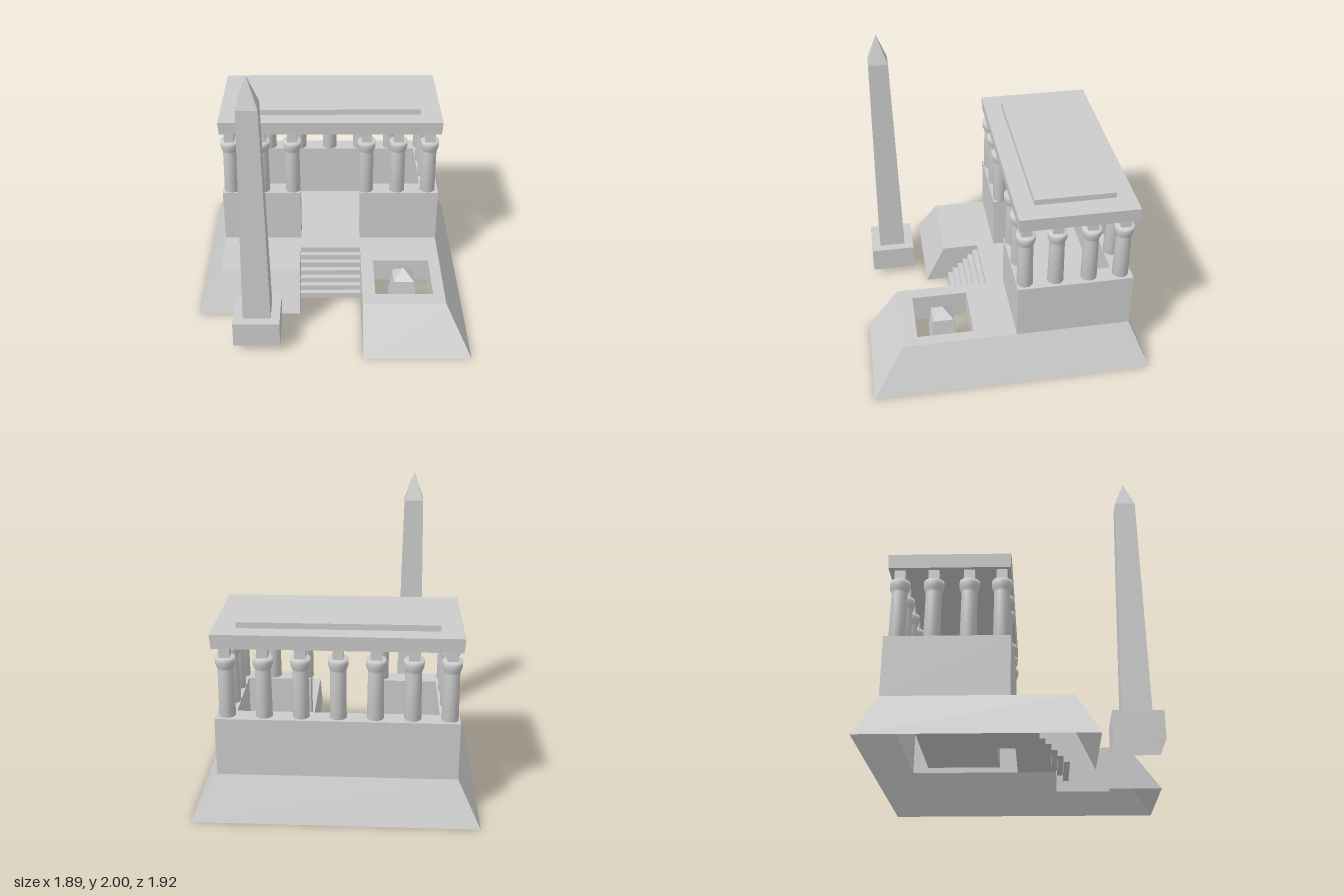
import * as THREE from 'three';

const mat = new THREE.MeshStandardMaterial({ color: 0xcccccc, side: THREE.DoubleSide });

// Band of quads between two matching 3D paths (a below, b above)
function ribbon(a, b, closed = false) {
  const pos = [];
  const n = a.length;
  for (let i = 0; i < (closed ? n : n - 1); i++) {
    const j = (i + 1) % n;
    pos.push(...a[i], ...a[j], ...b[j], ...a[i], ...b[j], ...b[i]);
  }
  const g = new THREE.BufferGeometry();
  g.setAttribute('position', new THREE.Float32BufferAttribute(pos, 3));
  g.computeVertexNormals();
  return g;
}

// Horizontal face at height y from [x, z] outlines
function sheet(outline, y, holes = []) {
  const pts = (o) => o.map(([x, z]) => new THREE.Vector2(x, -z));
  const s = new THREE.Shape(pts(outline));
  for (const h of holes) s.holes.push(new THREE.Path(pts(h)));
  return new THREE.ShapeGeometry(s).rotateX(-Math.PI / 2).translate(0, y, 0);
}

const at = (outline, y) => outline.map(([x, z]) => [x, y, z]);
const rect = (x0, x1, z0, z1) => [[x0, z1], [x1, z1], [x1, z0], [x0, z0]];
const square = (x, z, h) => rect(x - h, x + h, z - h, z + h);

export function createModel() {
  const model = new THREE.Group();
  const add = (name, geo, parent = model) => {
    const m = new THREE.Mesh(geo, mat);
    m.name = name;
    parent.add(m);
    return m;
  };
  const group = (name) => {
    const g = new THREE.Group();
    g.name = name;
    model.add(g);
    return g;
  };

  const FLOOR = 0.295, WALL = 0.695;
  const L = -0.8, R = 0.78, BACK = -0.84, FRONT = -0.045; // hall footprint
  const gapL = -0.23, gapR = 0.21, T = 0.13;              // gateway and wall thickness

  // Sloping sides of the platform, open underneath
  const foot = [[gapR, 0.96], [0.945, 0.96], [0.945, -0.965], [-0.95, -0.965], [-0.95, 0.485], [gapL, 0.485]];
  const rim = [[gapR, 0.74], [R, 0.74], [R, BACK], [L, BACK], [L, 0.345], [gapL, 0.345]];
  add('platformSides', ribbon(at(foot, 0), at(rim, FLOOR)));

  // U-shaped wall with a gateway at the front; inner edge listed left to right
  const inner = [[gapL, FRONT], [gapL, FRONT - T], [L + T, FRONT - T], [L + T, BACK + T],
    [R - T, BACK + T], [R - T, FRONT - T], [gapR, FRONT - T], [gapR, FRONT]];
  const wall = [...inner, [R, FRONT], [R, BACK], [L, BACK], [L, FRONT]];
  const hall = group('hallWalls');
  add('wallSides', ribbon(at(wall, FLOOR), at(wall, WALL), true), hall);
  add('wallTop', sheet(wall, WALL), hall);

  // Terrace and courtyard floor, with a pit through it
  const pit = rect(0.3, 0.7, 0.245, 0.635);
  const stairTop = 0.085;
  const floor = [[L, FRONT], ...inner, [R, FRONT], [R, 0.74], [gapR, 0.74],
    [gapR, stairTop], [gapL, stairTop], [gapL, 0.345], [L, 0.345]];
  add('terraceFloor', sheet(floor, FLOOR, [pit]));
  add('pitWalls', ribbon(at(pit, 0.12), at(pit, FLOOR), true));

  // Stairs sunk into the terrace
  const profile = [[stairTop, FLOOR]]; // [z, y]
  const steps = 7, rise = 0.04, tread = 0.0392;
  for (let i = 0; i < steps; i++) {
    const z = stairTop + i * tread, y = FLOOR - (i + 1) * rise;
    profile.push([z, y]);
    if (i < steps - 1) profile.push([z + tread, y]);
  }
  const side = (x) => profile.map(([z, y]) => [x, y, z]);
  add('stairs', ribbon(side(gapR), side(gapL)));

  // Upright walls on each side of the stairs
  for (const [name, x, zTop, zFoot] of [['stairWallLeft', gapR, 0.74, 0.96], ['stairWallRight', gapL, 0.345, 0.485]]) {
    const end = profile[profile.length - 1][0];
    const pts = [...profile, [end, 0], [zFoot, 0], [zTop, FLOOR]];
    const s = new THREE.Shape(pts.map(([z, y]) => new THREE.Vector2(-z, y)));
    add(name, new THREE.ShapeGeometry(s).rotateY(Math.PI / 2).translate(x, 0, 0));
  }

  // Columns with flared capitals and square blocks
  const columnGeo = new THREE.LatheGeometry([
    [0, 0], [0.055, 0], [0.051, 0.325], [0.056, 0.34], [0.064, 0.362], [0.066, 0.385], [0.065, 0.41], [0, 0.41],
  ].map(([r, y]) => new THREE.Vector2(r, y)), 20);
  const blockGeo = new THREE.BoxGeometry(0.07, 0.075, 0.07);
  const columns = group('columns');
  const column = (x, z) => {
    add('column', columnGeo, columns).position.set(x, WALL, z);
    add('columnBlock', blockGeo, columns).position.set(x, 1.1425, z);
  };
  for (let i = 0; i < 7; i++) column(-0.735 + i * 0.24, -0.765);
  for (const x of [-0.735, -0.51, -0.285, 0.25, 0.48, 0.705]) column(x, -0.105);
  for (const x of [-0.735, 0.705]) for (const z of [-0.315, -0.545]) column(x, z);

  // Roof slab, slightly wider at the top, and the raised panel on it
  const roof = group('roof');
  const low = rect(-0.8, 0.78, -0.837, -0.049), high = rect(-0.806, 0.786, -0.842, -0.043);
  add('roofEdge', ribbon(at(low, 1.18), at(high, 1.275), true), roof);
  add('roofUnderside', sheet(low, 1.18), roof);
  add('roofTop', sheet(high, 1.275), roof);
  add('roofPanel', new THREE.BoxGeometry(1.297, 0.04, 0.545), roof).position.set(-0.0115, 1.295, -0.4425);

  // Tapered shaft with a pointed cap
  const obelisk = (name, x, z, y0, y1, tip, h1) => {
    const g = group(name);
    const a = square(x, z, 0.095), b = square(x, z, h1);
    add('shaft', ribbon(at(a, y0), at(b, y1), true), g);
    add('cap', ribbon(at(b, y1), b.map(() => [x, tip, z]), true), g);
    return g;
  };
  const tall = obelisk('obelisk', -0.51, 0.73, 0.24, 1.8, 2, 0.068);
  obelisk('sunkenObelisk', 0.505, 0.44, 0.12, 0.305, 0.375, 0.0725);

  // Hollow plinth under the tall obelisk
  const plinth = square(-0.512, 0.73, 0.159);
  add('plinthSides', ribbon(at(plinth, 0.055), at(plinth, 0.24), true), tall);
  add('plinthTop', sheet(plinth, 0.24, [square(-0.51, 0.73, 0.095)]), tall);

  return model;
}
